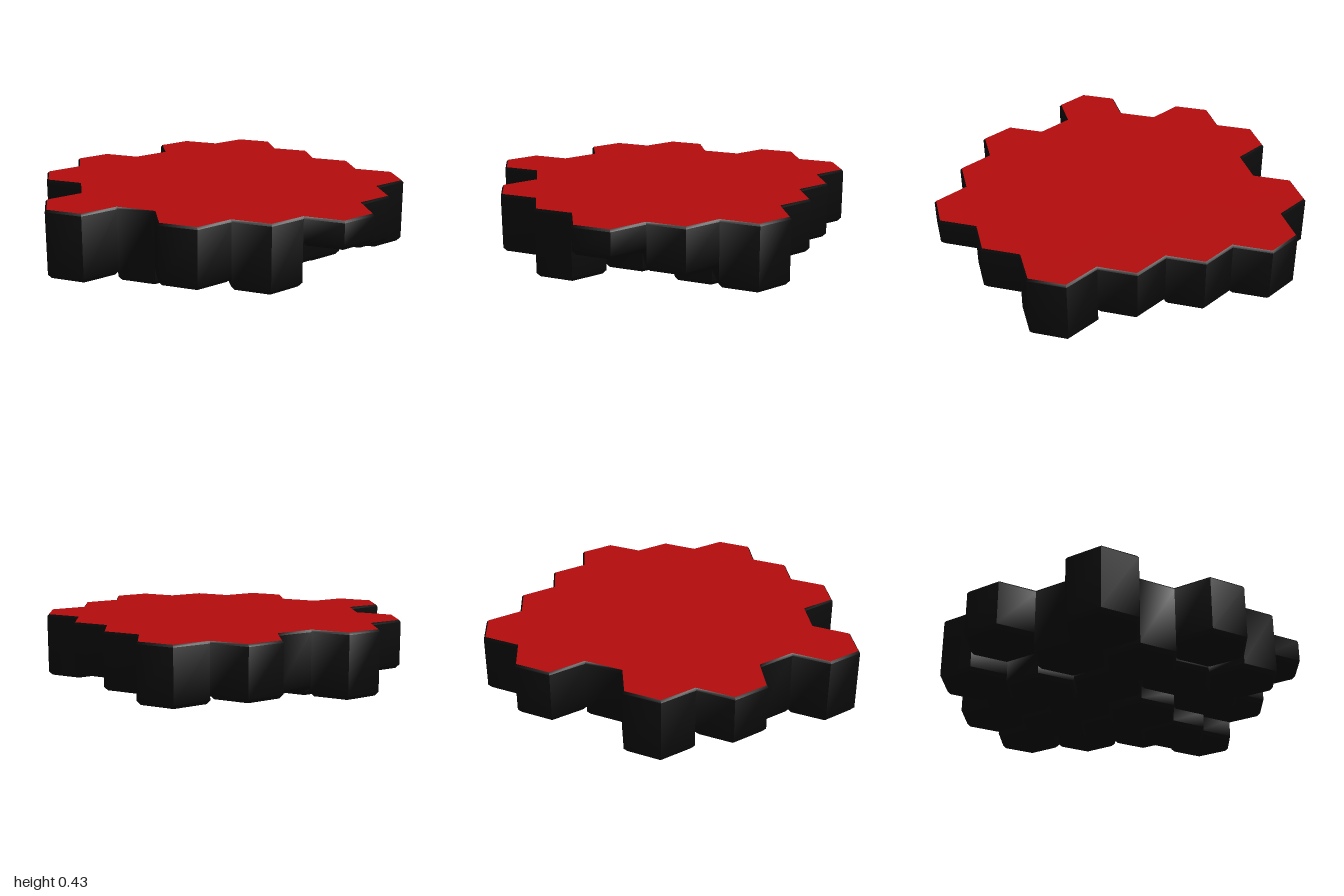
import * as THREE from 'three';
import { toCreasedNormals } from 'three/addons/utils/BufferGeometryUtils.js';

const HALF = 2 / 11;                 // half the width of a hexagonal column
const R = HALF * 2 / Math.sqrt(3);   // corner radius
const TOP = 0.425, RIM = 0.012, BEVEL = 0.022;

// Rows of columns from back to front: row, first half-step column, bottom heights
const ROWS = [
  [-3, -1, [0.13, 0.105]],
  [-2, -4, [0.065, 0.1, 0.09, 0.11]],
  [-1, -5, [0.15, 0.02, 0.06, 0.05, 0.13]],
  [0, -4, [0.06, 0.04, 0.005, 0, 0.065]],
  [1, -5, [0.055, 0.025, 0.08, 0.09, 0.17]],
  [2, -2, [0.1, 0.055, 0.27]],
];
// Neighbour steps (column, row), at 60 degree intervals
const STEPS = [[2, 0], [1, 1], [-1, 1], [-2, 0], [-1, -1], [1, -1]];

const key = (c, r) => c + ',' + r;
const centre = (c, r, y) => new THREE.Vector3((c + 0.5) * HALF, y, (r + 0.5) * 1.5 * R);

function meshFrom(points, name, color, crease) {
  const flat = new THREE.BufferGeometry().setFromPoints(points);
  const geometry = toCreasedNormals(flat, crease);
  const mesh = new THREE.Mesh(geometry, new THREE.MeshStandardMaterial({ color }));
  mesh.name = name;
  return mesh;
}

export function createModel() {
  const cells = new Map();
  for (const [r, first, bottoms] of ROWS) {
    bottoms.forEach((bottom, i) => cells.set(key(first + 2 * i, r), { c: first + 2 * i, r, bottom }));
  }
  const neighbour = (cell, k) => {
    const [dc, dr] = STEPS[(k + 6) % 6];
    return cells.get(key(cell.c + dc, cell.r + dr));
  };
  // Corner between neighbour directions k and k + 1
  const corner = (cell, k, y, radius = R) => {
    const a = (k + 0.5) * Math.PI / 3;
    return centre(cell.c, cell.r, y).add(new THREE.Vector3(Math.cos(a) * radius, 0, Math.sin(a) * radius));
  };
  // Top corner, drawn inwards only where it lies on the outline
  const topCorner = (cell, k) => {
    const p = corner(cell, k, TOP);
    const shift = new THREE.Vector3();
    for (const n of [cell, neighbour(cell, k), neighbour(cell, k + 1)]) {
      if (n) shift.add(centre(n.c, n.r, TOP).sub(p));
    }
    return p.addScaledVector(shift, 0.05);
  };

  const surface = [], stone = [];
  const quad = (a, b, c, d) => stone.push(a, b, c, a, c, d);

  for (const cell of cells.values()) {
    const low = cell.bottom + BEVEL;
    for (let k = 0; k < 6; k++) {
      const next = neighbour(cell, k);
      const A = (y, radius) => corner(cell, k - 1, y, radius);
      const B = (y, radius) => corner(cell, k, y, radius);
      // Flat coloured top
      surface.push(centre(cell.c, cell.r, TOP), topCorner(cell, k), topCorner(cell, k - 1));
      // Bottom face and its bevel
      const inner = R - BEVEL;
      stone.push(centre(cell.c, cell.r, cell.bottom), A(cell.bottom, inner), B(cell.bottom, inner));
      quad(B(cell.bottom, inner), A(cell.bottom, inner), A(low), B(low));
      // Exposed wall, up to the neighbour's bottom or to the rim
      const high = next ? next.bottom + BEVEL : TOP - RIM;
      if (high > low) quad(B(low), A(low), A(high), B(high));
      if (!next) quad(B(high), A(high), topCorner(cell, k - 1), topCorner(cell, k));
    }
  }

  const model = new THREE.Group();
  model.name = 'hexagonTile';
  model.add(
    meshFrom(surface, 'topSurface', 0xb40c0c, 0.5),
    meshFrom(stone, 'stoneColumns', 0x0b0b0b, 1.1),
  );
  return model;
}
